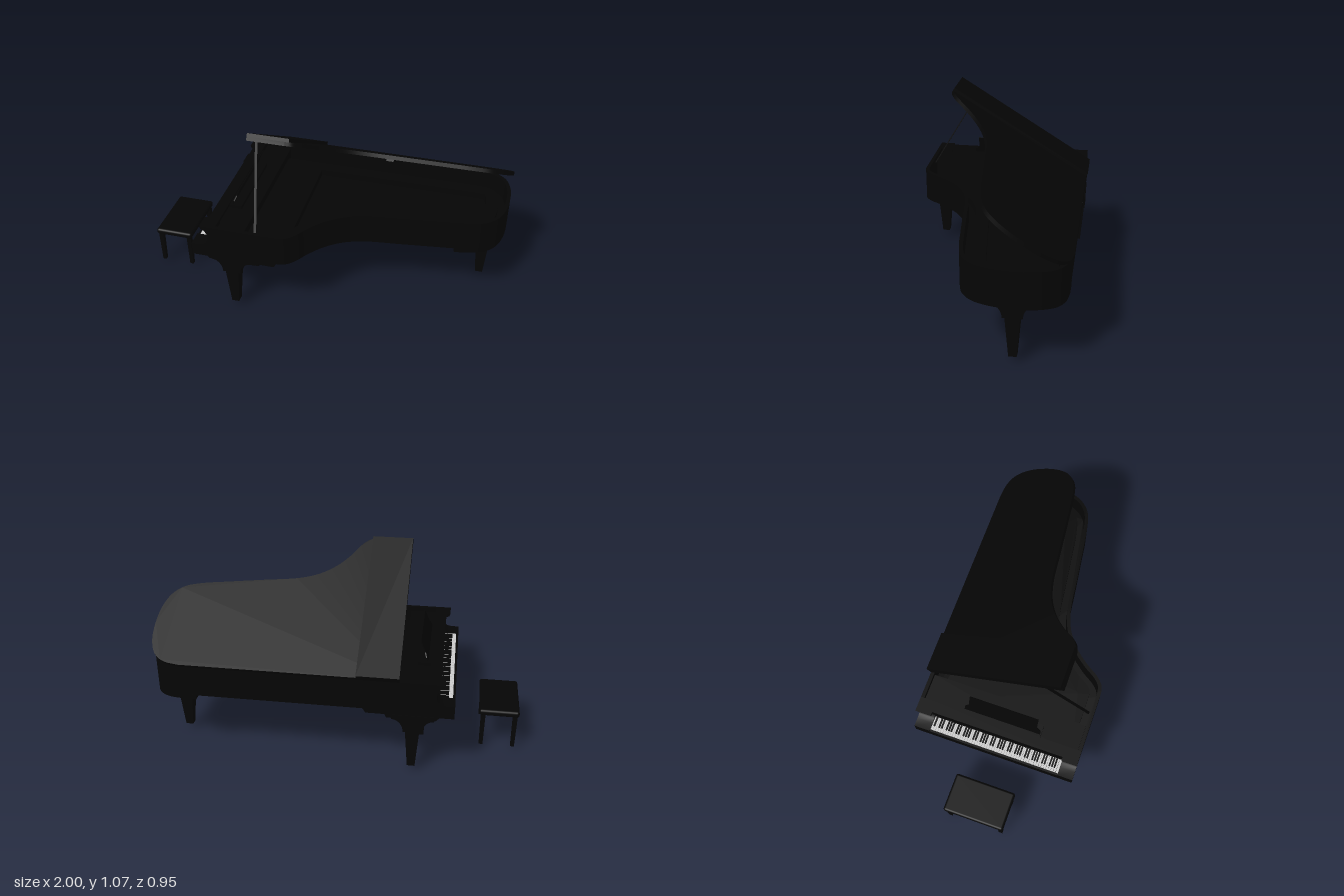
import * as THREE from 'three';
import { toCreasedNormals } from 'three/addons/utils/BufferGeometryUtils.js';
import { RoundedBoxGeometry } from 'three/addons/geometries/RoundedBoxGeometry.js';

const black = new THREE.MeshStandardMaterial({ color: 0x050505 });
const ivory = new THREE.MeshStandardMaterial({ color: 0xf0f0f0 });

export function createModel() {
  const root = new THREE.Group();

  const add = (name, geo, parent = root, mat = black) => {
    const mesh = new THREE.Mesh(geo, mat);
    mesh.name = name;
    parent.add(mesh);
    return mesh;
  };
  // Box given by its limits on each axis
  const box = (name, x0, x1, y0, y1, z0, z1, parent, mat) => {
    const mesh = add(name, new THREE.BoxGeometry(x1 - x0, y1 - y0, z1 - z0), parent, mat);
    mesh.position.set((x0 + x1) / 2, (y0 + y1) / 2, (z0 + z1) / 2);
    return mesh;
  };
  // Horizontal slab from a plan outline of [x, z] points
  const toShape = (pts) => new THREE.Shape(pts.map(([x, z]) => new THREE.Vector2(x, -z)));
  const slab = (pts, y0, y1, hole) => {
    const shape = toShape(pts);
    if (hole) shape.holes.push(toShape(hole));
    const geo = new THREE.ExtrudeGeometry(shape, { depth: y1 - y0, bevelEnabled: false });
    geo.rotateX(-Math.PI / 2).translate(0, y0, 0);
    return toCreasedNormals(geo, 0.5);
  };
  // Upright profile of [x, y] points, extruded from z0 to z1
  const upright = (pts, z0, z1) => {
    const shape = new THREE.Shape(pts.map(([x, y]) => new THREE.Vector2(x, y)));
    const geo = new THREE.ExtrudeGeometry(shape, { depth: z1 - z0, bevelEnabled: false });
    return toCreasedNormals(geo.translate(0, 0, z0), 0.6);
  };

  // Plan outline: bent side, round tail, straight spine
  const bend = [
    [-0.15, 0.476], [-0.11, 0.464], [-0.07, 0.428], [-0.02, 0.353], [0.05, 0.272], [0.14, 0.207],
    [0.25, 0.167], [0.45, 0.139], [0.65, 0.112], [0.8, 0.09], [0.89, 0.062], [0.95, 0.007],
    [0.985, -0.078], [1.0, -0.195], [0.99, -0.315], [0.955, -0.395], [0.9, -0.434], [0.82, -0.449],
  ];
  const curve = new THREE.CatmullRomCurve3(bend.map(([x, z]) => new THREE.Vector3(x, 0, z)), false, 'centripetal');
  const side = curve.getPoints(100).map((p) => [Math.min(p.x, 1), p.z]);
  const outline = (x0) => [[x0, -0.45], [x0, 0.476], ...side];

  // Moves an outline inwards along its corner normals
  const inset = (pts, d) => pts.map((p, i) => {
    const a = pts[(i + pts.length - 1) % pts.length], b = pts[(i + 1) % pts.length];
    const u = new THREE.Vector2(p[0] - a[0], p[1] - a[1]).normalize();
    const v = new THREE.Vector2(b[0] - p[0], b[1] - p[1]).normalize();
    const k = d / (1 + u.dot(v));
    return [p[0] + (u.y + v.y) * k, p[1] - (u.x + v.x) * k];
  });

  // Case
  const caseOutline = outline(-0.53);
  add('rim', slab(caseOutline, 0.39, 0.563, inset(caseOutline, 0.02)));
  add('soundboard', slab(inset(caseOutline, 0.015), 0.42, 0.45));
  add('ironPlate', slab(inset(caseOutline, 0.06), 0.45, 0.49, inset(outline(-0.25), 0.13)));
  box('pinBlock', -0.53, -0.35, 0.44, 0.535, -0.435, 0.455);
  const tailSide = side.filter(([x]) => x > 0.74);
  add('tailBlock', slab([[0.74, -0.45], [0.74, tailSide[0][1]], ...tailSide], 0.365, 0.392));

  // Keybed, its cross beam, and the scrolled arms
  add('keybed', upright([[-0.64, 0.365], [-0.175, 0.365], [-0.16, 0.392], [-0.2, 0.418], [-0.64, 0.418]], -0.45, 0.476));
  add('keybedBeam', upright([[-0.545, 0.345], [-0.285, 0.345], [-0.275, 0.366], [-0.565, 0.366]], -0.45, 0.468));
  const armProfile = [
    [-0.64, 0.41], [-0.5, 0.41], [-0.5, 0.563], [-0.585, 0.563], [-0.58, 0.546], [-0.562, 0.538],
    [-0.546, 0.515], [-0.543, 0.488], [-0.55, 0.462], [-0.568, 0.445], [-0.595, 0.439], [-0.64, 0.439],
  ];
  add('leftArm', upright(armProfile, 0.39, 0.476));
  add('rightArm', upright(armProfile, -0.45, -0.36));
  box('fallboard', -0.55, -0.51, 0.415, 0.55, -0.37, 0.4);
  box('fallboardLip', -0.562, -0.5, 0.546, 0.563, -0.37, 0.4);
  box('keySlip', -0.64, -0.628, 0.41, 0.428, -0.37, 0.4);

  // 52 white keys, with black keys in groups of two and three
  const keys = new THREE.Group();
  keys.name = 'keyboard';
  root.add(keys);
  const pitch = 0.75 / 52;
  for (let i = 0; i < 52; i++) {
    const z = -0.36 + i * pitch;
    box('whiteKey', -0.627, -0.55, 0.415, 0.432, z + 0.0007, z + pitch - 0.0007, keys, ivory);
    if (i < 51 && ![1, 4].includes(i % 7)) {
      box('blackKey', -0.605, -0.55, 0.43, 0.441, z + pitch - 0.0045, z + pitch + 0.0045, keys);
    }
  }

  // Music desk leaning away from the player
  const deskShape = new THREE.Shape([
    [-0.235, 0], [0.2, 0], [0.2, 0.022], [0.18, 0.044], [0.18, 0.115],
    [-0.21, 0.115], [-0.21, 0.044], [-0.235, 0.022],
  ].map(([x, y]) => new THREE.Vector2(x, y)));
  const deskTilt = new THREE.Group();
  deskTilt.name = 'musicDeskMount';
  deskTilt.position.set(-0.485, 0.56, 0);
  deskTilt.rotation.z = -0.4;
  root.add(deskTilt);
  const deskGeo = new THREE.ExtrudeGeometry(deskShape, { depth: 0.006, bevelEnabled: false });
  add('musicDesk', deskGeo.rotateY(Math.PI / 2), deskTilt);
  box('deskShelf', -0.5, -0.43, 0.53, 0.555, -0.21, 0.24);

  // Raised lid with the front flap folded back on it
  const lid = new THREE.Group();
  lid.name = 'lid';
  lid.position.set(0, 0.562, -0.453);
  lid.rotation.x = THREE.MathUtils.degToRad(-31.8);
  root.add(lid);
  const lidOutline = outline(-0.35).map(([x, z]) => [x, (z + 0.45) * 0.968]);
  add('lidPanel', slab(lidOutline, 0, 0.021), lid);
  box('foldedFlap', -0.35, -0.125, 0.02, 0.039, 0, 0.896, lid);
  box('lidBatten', 0.33, 0.37, -0.011, 0.002, 0.035, 0.567, lid);
  box('hingeStrip', -0.35, 0.37, -0.006, 0.004, 0.002, 0.02, lid);

  // Flat prop stick
  const from = new THREE.Vector3(-0.28, 0.55, 0.447), to = new THREE.Vector3(-0.335, 0.963, 0.2);
  const prop = add('lidProp', new THREE.BoxGeometry(0.014, from.distanceTo(to), 0.006));
  prop.position.copy(from).add(to).multiplyScalar(0.5);
  prop.quaternion.setFromUnitVectors(new THREE.Vector3(0, 1, 0), to.clone().sub(from).normalize());

  // Square tapered post between two heights
  const taper = (name, wTop, wBottom, y0, y1, parent) => {
    const geo = new THREE.CylinderGeometry(wTop * Math.SQRT1_2, wBottom * Math.SQRT1_2, y1 - y0, 4).toNonIndexed();
    geo.rotateY(Math.PI / 4).computeVertexNormals();
    const mesh = add(name, geo, parent);
    mesh.position.y = (y0 + y1) / 2;
    return mesh;
  };

  // Legs with a bracket flaring in a hollow curve along local x
  const flare = [[0.118, 0.366], [0.115, 0.346]];
  for (let i = 0; i <= 8; i++) {
    const a = Math.PI / 2 * (1 + i / 8);
    flare.push([0.11 + 0.06 * Math.cos(a), 0.265 + 0.074 * Math.sin(a)]);
  }
  const bracket = [...flare, ...flare.map(([x, y]) => [-x, y]).reverse()];
  for (const [name, x, z, turn] of [
    ['frontLeftLeg', -0.425, 0.422, 0], ['frontRightLeg', -0.425, -0.411, 0], ['tailLeg', 0.883, -0.185, Math.PI / 2],
  ]) {
    const leg = new THREE.Group();
    leg.name = name;
    leg.position.set(x, 0, z);
    leg.rotation.y = turn;
    root.add(leg);
    add('legBracket', upright(bracket, -0.042, 0.042), leg);
    taper('legPost', 0.076, 0.042, 0.036, 0.27, leg);
  }

  // Pedal lyre
  const lyre = new THREE.Group();
  lyre.name = 'pedalLyre';
  root.add(lyre);
  box('lyreBox', -0.475, -0.41, 0, 0.04, -0.077, 0.087, lyre);
  for (const z of [-0.072, 0.083]) box('lyrePost', -0.472, -0.413, 0.03, 0.36, z - 0.006, z + 0.006, lyre);

  // Bench
  const bench = new THREE.Group();
  bench.name = 'bench';
  bench.position.set(-0.89, 0, 0.018);
  root.add(bench);
  add('benchSeat', new RoundedBoxGeometry(0.22, 0.036, 0.356, 3, 0.014), bench).position.y = 0.232;
  for (const sx of [-1, 1]) {
    for (const sz of [-1, 1]) {
      const leg = taper('benchLeg', 0.026, 0.021, 0.018, 0.222, bench);
      leg.position.x = sx * 0.088;
      leg.position.z = sz * 0.155;
    }
  }
  return root;
}
